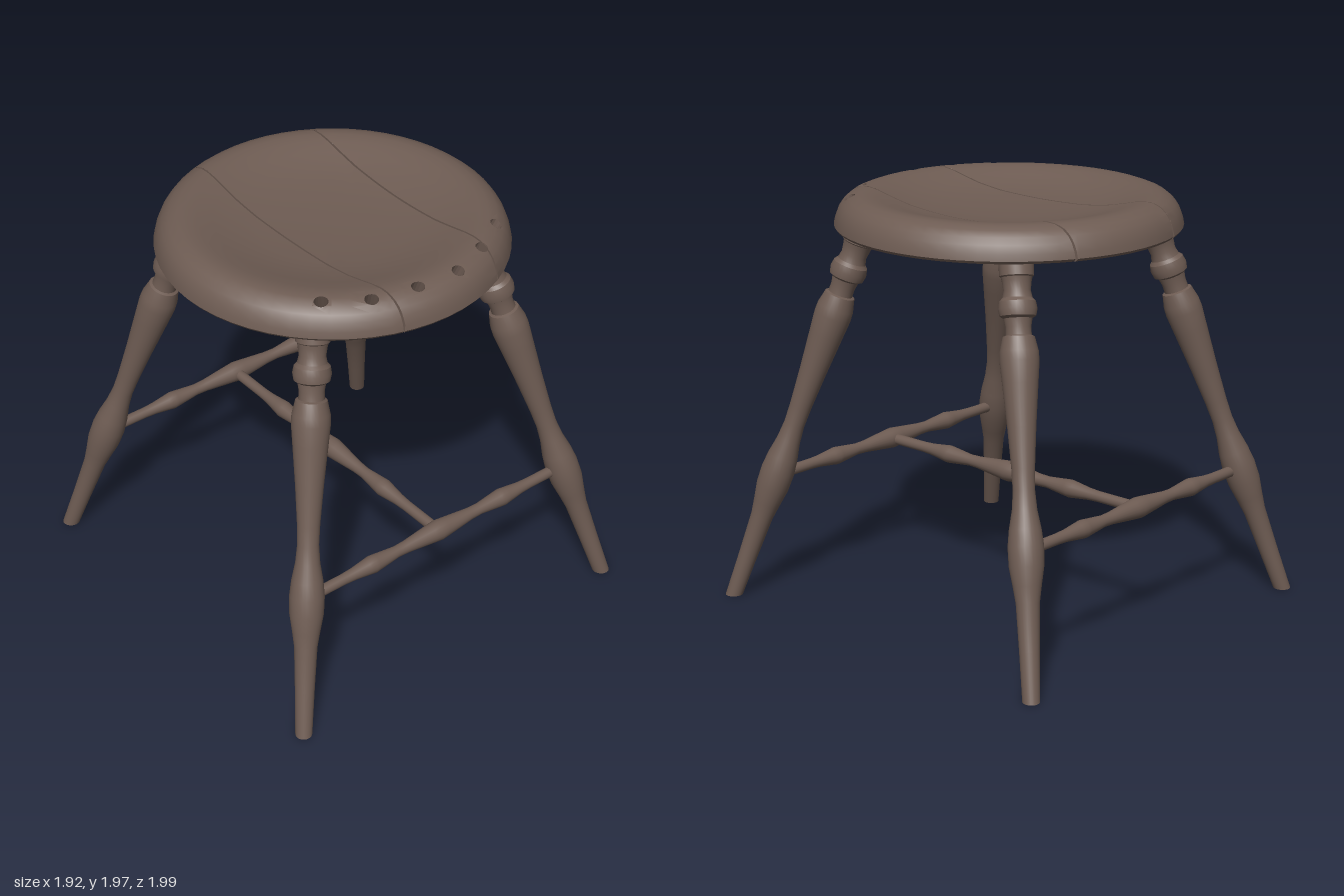
import * as THREE from 'three';
import { toCreasedNormals, mergeGeometries } from 'three/addons/utils/BufferGeometryUtils.js';

const wood = new THREE.MeshStandardMaterial({ color: 0x6e5c53, side: THREE.DoubleSide });
const V2 = (p) => new THREE.Vector2(p[0], p[1]);
const V3 = (x, y, z) => new THREE.Vector3(x, y, z);

// Seat profile as [radius, height], from the middle outwards
const under = [[0, 1.79], [0.66, 1.797], [0.8, 1.817], [0.81, 1.83]];
const upper = [[0, 1.89], [0.2, 1.893], [0.35, 1.903], [0.46, 1.921], [0.54, 1.942], [0.61, 1.961],
  [0.66, 1.969], [0.7, 1.967], [0.74, 1.952], [0.77, 1.927], [0.79, 1.897], [0.804, 1.86], [0.81, 1.83]];

// Height of a profile at a given radius
function heightAt(profile, r) {
  for (let i = 1; i < profile.length; i++) {
    const [r0, y0] = profile[i - 1], [r1, y1] = profile[i];
    if (r <= r1) return y0 + (y1 - y0) * (r - r0) / (r1 - r0);
  }
  return 1.83;
}

// Smooth normals with sharp edges kept, at a scale where small details stay separate
function crease(geo, angle = 0.5) {
  geo.scale(50, 50, 50);
  const out = toCreasedNormals(geo, angle);
  return out.scale(0.02, 0.02, 0.02);
}

function add(group, name, geo) {
  const mesh = new THREE.Mesh(geo, wood);
  mesh.name = name;
  group.add(mesh);
}

// Part of a convex polygon on the positive (or negative) side of a plane
function clip(poly, plane, sign = 1) {
  const out = [];
  poly.forEach((a, i) => {
    const b = poly[(i + 1) % poly.length];
    const da = sign * plane.distanceToPoint(a), db = sign * plane.distanceToPoint(b);
    if (da >= 0) out.push(a);
    if ((da > 0 && db < 0) || (da < 0 && db > 0)) out.push(a.clone().lerp(b, da / (da - db)));
  });
  return out.length > 2 ? out : [];
}

function toGeometry(polys) {
  const pos = [];
  for (const p of polys) {
    for (let i = 1; i < p.length - 1; i++) {
      for (const v of [p[0], p[i], p[i + 1]]) pos.push(v.x, v.y, v.z);
    }
  }
  const geo = new THREE.BufferGeometry();
  geo.setAttribute('position', new THREE.Float32BufferAttribute(pos, 3));
  geo.computeVertexNormals();
  return geo;
}

// Slanted spindle hole: clipping planes and wall quads
function makeHole([x, z]) {
  const n = 14, radius = 0.032, len = Math.hypot(x, z);
  const axis = V3(x / len * 0.45, 1, z / len * 0.45);
  const ring = Array.from({ length: n }, (_, i) => {
    const a = i / n * Math.PI * 2;
    return V3(x + radius * Math.cos(a), 1.96, z + radius * Math.sin(a));
  });
  const onSurface = (p, profile) => {
    let q = p.clone();
    for (let k = 0; k < 12; k++) {
      q = p.clone().addScaledVector(axis, heightAt(profile, Math.hypot(q.x, q.z)) - p.y);
    }
    return q;
  };
  const centre = V3(x, 1.96, z);
  const planes = [], walls = [];
  ring.forEach((p, i) => {
    const q = ring[(i + 1) % n];
    const normal = q.clone().sub(p).cross(axis).normalize();
    const plane = new THREE.Plane().setFromNormalAndCoplanarPoint(normal, p);
    if (plane.distanceToPoint(centre) > 0) plane.negate();
    planes.push(plane);
    walls.push([onSurface(p, upper), onSurface(q, upper), onSurface(q, under), onSurface(p, under)]);
  });
  return { planes, walls };
}

// Remove the inside of a hole from a list of polygons
function drill(polys, hole) {
  return polys.flatMap((poly) => {
    let rest = poly;
    const kept = [];
    for (const plane of hole.planes) {
      const outside = clip(rest, plane);
      if (outside.length) kept.push(outside);
      rest = clip(rest, plane, -1);
      if (!rest.length) return [poly];
    }
    return kept;
  });
}

// Plank edge x = a + k z: clipping plane and the sawn face
function makeCut(a, k) {
  const plane = new THREE.Plane(V3(1, 0, -k).normalize(), -a / Math.hypot(1, k));
  const zEnd = Math.sqrt(0.809 ** 2 - a * a);
  const faces = [];
  const n = 40;
  const edge = (i, profile) => {
    const z = zEnd * Math.sin((i / n - 0.5) * Math.PI), x = a + k * z;
    return V3(x, heightAt(profile, Math.hypot(x, z)), z);
  };
  for (let i = 0; i < n; i++) {
    faces.push([edge(i, under), edge(i + 1, under), edge(i + 1, upper), edge(i, upper)]);
  }
  return { plane, faces };
}

function buildSeat() {
  const seat = new THREE.Group();
  seat.name = 'seat';
  const outline = [...under, ...upper.slice(0, -1).reverse()].map(V2);
  const p = new THREE.LatheGeometry(outline, 56).toNonIndexed().attributes.position;
  let polys = [];
  for (let i = 0; i < p.count; i += 3) {
    polys.push([0, 1, 2].map((j) => V3(0, 0, 0).fromBufferAttribute(p, i + j)));
  }
  const holes = [[-0.48, 0.53], [-0.3, 0.65], [-0.085, 0.7], [0.135, 0.71], [0.335, 0.635], [0.52, 0.525]].map(makeHole);
  for (const hole of holes) polys = drill(polys, hole);

  // Three planks with narrow gaps between them
  const gap = 0.0045;
  const cut = (a, k) => [makeCut(a - gap, k), makeCut(a + gap, k)];
  const [l0, l1] = cut(-0.238, 0.024), [r0, r1] = cut(0.358, -0.008);
  const planks = [
    ['rightPlank', null, l0], ['middlePlank', l1, r0], ['leftPlank', r1, null],
  ];
  for (const [name, from, to] of planks) {
    let part = polys, faces = [];
    if (from) {
      part = part.map((q) => clip(q, from.plane)).filter((q) => q.length);
      faces = faces.concat(from.faces.map((f) => [...f].reverse()));
    }
    if (to) {
      part = part.map((q) => clip(q, to.plane, -1)).filter((q) => q.length);
      faces = faces.concat(to.faces);
    }
    add(seat, name, mergeGeometries([crease(toGeometry(part), 0.6), toGeometry(faces)]));
  }
  holes.forEach((h) => add(seat, 'spindleHole', toGeometry(h.walls.map((w) => w.slice().reverse()))));
  return seat;
}

// Turned leg as [radius, height], leaning in towards the seat
const legProfile = [[0, 0], [0.039, 0], [0.045, 0.2], [0.053, 0.4], [0.064, 0.47], [0.078, 0.55], [0.08, 0.63],
  [0.072, 0.7], [0.056, 0.78], [0.049, 0.86], [0.052, 0.95], [0.064, 1.12], [0.08, 1.3], [0.088, 1.39], [0.086, 1.43],
  [0.071, 1.49], [0.058, 1.495], [0.057, 1.53], [0.064, 1.565], [0.081, 1.575], [0.087, 1.605], [0.081, 1.635],
  [0.067, 1.65], [0.06, 1.68], [0.066, 1.72], [0.07, 1.735], [0.077, 1.74], [0.078, 1.815], [0, 1.815]];

function buildLeg(sx, sz) {
  const dir = V3(-0.244 * sx, 1, -0.268 * sz);
  const len = dir.length();
  const geo = new THREE.LatheGeometry(legProfile.map(([r, y]) => V2([r, y * len])), 28);
  geo.applyQuaternion(new THREE.Quaternion().setFromUnitVectors(V3(0, 1, 0), dir.clone().normalize()));
  geo.translate(0.92 * sx, 0, 0.957 * sz);
  // Cut the foot level with the floor
  const p = geo.attributes.position;
  for (let i = 0; i < p.count; i++) {
    if (i % legProfile.length > 1) continue;
    const v = V3(0, 0, 0).fromBufferAttribute(p, i);
    v.addScaledVector(dir, -v.y);
    p.setXYZ(i, v.x, v.y, v.z);
  }
  return crease(geo);
}

// Turned stretcher with three swellings, lying along x
function buildStretcher(half) {
  const side = [[0.05, 0], [0.046, 0.04], [0.03, 0.19], [0.028, 0.25], [0.041, 0.37], [0.043, 0.39],
    [0.039, 0.42], [0.029, 0.5], [0.026, 0.56], [0.026, half]];
  const pts = [...side.slice(1).reverse().map(([r, y]) => [r, -y]), ...side].map(V2);
  return crease(new THREE.LatheGeometry(pts, 20).rotateZ(-Math.PI / 2));
}

export function createModel() {
  const stool = new THREE.Group();
  stool.name = 'stool';
  stool.add(buildSeat());
  for (const sx of [1, -1]) {
    for (const sz of [1, -1]) {
      add(stool, `${sz > 0 ? 'front' : 'back'}${sx > 0 ? 'Left' : 'Right'}Leg`, buildLeg(sx, sz));
    }
  }
  add(stool, 'frontStretcher', buildStretcher(0.75).translate(0, 0.61, 0.785));
  add(stool, 'backStretcher', buildStretcher(0.75).translate(0, 0.61, -0.79));
  add(stool, 'middleStretcher', buildStretcher(0.77).rotateY(Math.PI / 2).translate(0, 0.61, 0));
  return stool;
}
